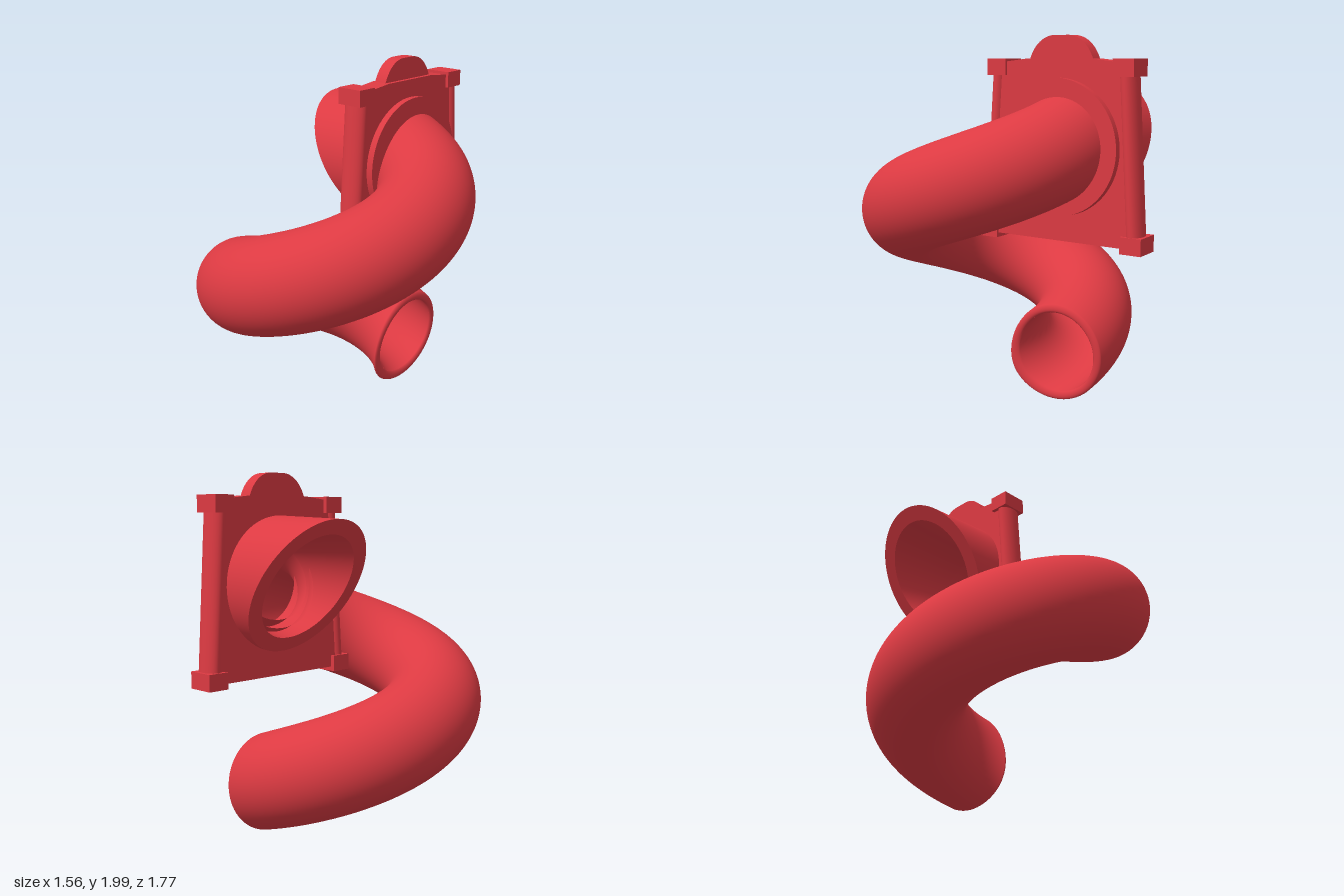
import * as THREE from 'three';
import { ParametricGeometry } from 'three/addons/geometries/ParametricGeometry.js';

const TAU = Math.PI * 2;
const material = new THREE.MeshStandardMaterial({ color: 0xdc3a42, side: THREE.DoubleSide });

function add(parent, name, geometry, x = 0, y = 0, z = 0) {
  const mesh = new THREE.Mesh(geometry, material);
  mesh.name = name;
  mesh.position.set(x, y, z);
  parent.add(mesh);
  return mesh;
}

// Descending spiral tube
const R = 0.51, TOP = 1.46, PITCH = 1.12, START = 0.15;
const tilt = Math.atan(PITCH / TAU / R);

function tubePoint(theta, phi, r, target) {
  const s = Math.sin(theta), c = Math.cos(theta);
  const out = R + r * Math.cos(phi), up = r * Math.sin(phi);
  return target.set(
    s * out + c * Math.sin(tilt) * up,
    TOP - PITCH * theta / TAU + Math.cos(tilt) * up,
    0.1 - c * out + s * Math.sin(tilt) * up
  );
}

// Angle at which a line along the tube meets the nearly upright exit plane
const probe = new THREE.Vector3();
function exitAngle(phi, r, bulge) {
  const goal = 0.143 + 0.02 * Math.sin(phi) + bulge;
  let lo = TAU - 0.6, hi = TAU + 1.1;
  for (let i = 0; i < 26; i++) {
    const mid = (lo + hi) / 2;
    if (tubePoint(mid, phi, r, probe).x < goal) lo = mid; else hi = mid;
  }
  return lo;
}

function buildTube(parent) {
  const OUTER = 0.27, INNER = 0.224;
  const along = (phi, r, v, p) => {
    const bend = TAU - 0.6;
    const theta = v < 0.85
      ? START + (bend - START) * v / 0.85
      : bend + (exitAngle(phi, r, 0) - bend) * (v - 0.85) / 0.15;
    tubePoint(theta, phi, r, p);
  };
  add(parent, 'tubeOutside', new ParametricGeometry((u, v, p) => along(u * TAU, OUTER, v, p), 64, 140));
  add(parent, 'tubeInside', new ParametricGeometry((u, v, p) => along(-u * TAU, INNER, v, p), 48, 100));
  // Rounded lip round the exit
  add(parent, 'exitLip', new ParametricGeometry((u, v, p) => {
    const a = v * Math.PI, phi = u * TAU;
    const r = (OUTER + INNER) / 2 + (OUTER - INNER) / 2 * Math.cos(a);
    tubePoint(exitAngle(phi, r, 0.014 * Math.sin(a)), phi, r, p);
  }, 64, 8));
}

// Round entry hood with a slanting mouth
function buildHood(parent) {
  const CY = 1.418, CZ = -0.3825, FRONT = 0.18;
  const piece = (name, r0, t0, r1, t1, rows) =>
    add(parent, name, new ParametricGeometry((u, v, p) => {
      const r = r0 + (r1 - r0) * v, t = t0 + (t1 - t0) * v;
      const y = r * Math.cos(u * TAU);
      const mouth = -0.197 - 0.61 * y;
      const x = mouth + (FRONT - mouth) * t;
      p.set(x, CY + y + (x - FRONT) * 0.04, CZ + r * Math.sin(u * TAU));
    }, 72, rows));
  piece('hoodOutside', 0.365, 0, 0.365, 1, 8);
  piece('hoodCollar', 0.365, 1, 0.24, 1, 1);
  piece('hoodInside', 0.24, 1, 0.285, 0, 8);
  piece('hoodRim', 0.285, 0, 0.365, 0, 1);
}

// Upright entry panel: plate, posts, corner blocks and crest
function buildPanel(parent) {
  const extrude = (shape, depth) => new THREE.ExtrudeGeometry(shape,
    { depth, bevelEnabled: false, curveSegments: 32 }).rotateY(Math.PI / 2);

  const plate = new THREE.Shape([
    [-0.445, 0.915], [0.445, 0.915], [0.385, 1.857], [0.19, 1.88], [-0.19, 1.88], [-0.385, 1.857]
  ].map(([x, y]) => new THREE.Vector2(x, y)));
  plate.holes.push(new THREE.Path().absarc(0, 1.418, 0.31, 0, TAU, true));
  add(parent, 'panelPlate', extrude(plate, 0.115), 0.025);

  const crest = new THREE.Shape();
  crest.moveTo(-0.19, 1.85);
  crest.lineTo(0.19, 1.85);
  crest.lineTo(0.19, 1.88);
  crest.bezierCurveTo(0.16, 1.96, 0.1, 2, 0.04, 2);
  crest.lineTo(-0.04, 2);
  crest.bezierCurveTo(-0.1, 2, -0.16, 1.96, -0.19, 1.88);
  add(parent, 'panelCrest', extrude(crest, 0.075), 0.042);

  for (const side of [-1, 1]) {
    const post = new THREE.CylinderGeometry(1, 1, 0.94, 24);
    post.scale(0.072, 1, 0.046);
    add(parent, 'panelPost', post, 0.083, 1.385, side * 0.413).rotation.x = -side * Math.atan(0.06 / 0.9);
    add(parent, 'topBlock', new THREE.BoxGeometry(0.155, 0.09, 0.118), 0.08, 1.835, side * 0.383);
    add(parent, 'bottomBlock', new THREE.BoxGeometry(0.155, 0.09, 0.12), 0.08, 0.935, side * 0.443);
  }
}

export function createModel() {
  const model = new THREE.Group();
  model.name = 'spiralTubeSlide';
  const part = (name, build, z = 0) => {
    const group = new THREE.Group();
    group.name = name;
    group.position.z = z;
    build(group);
    model.add(group);
  };
  part('spiralTube', buildTube);
  part('entryHood', buildHood);
  part('entryPanel', buildPanel, -0.3825);
  return model;
}
